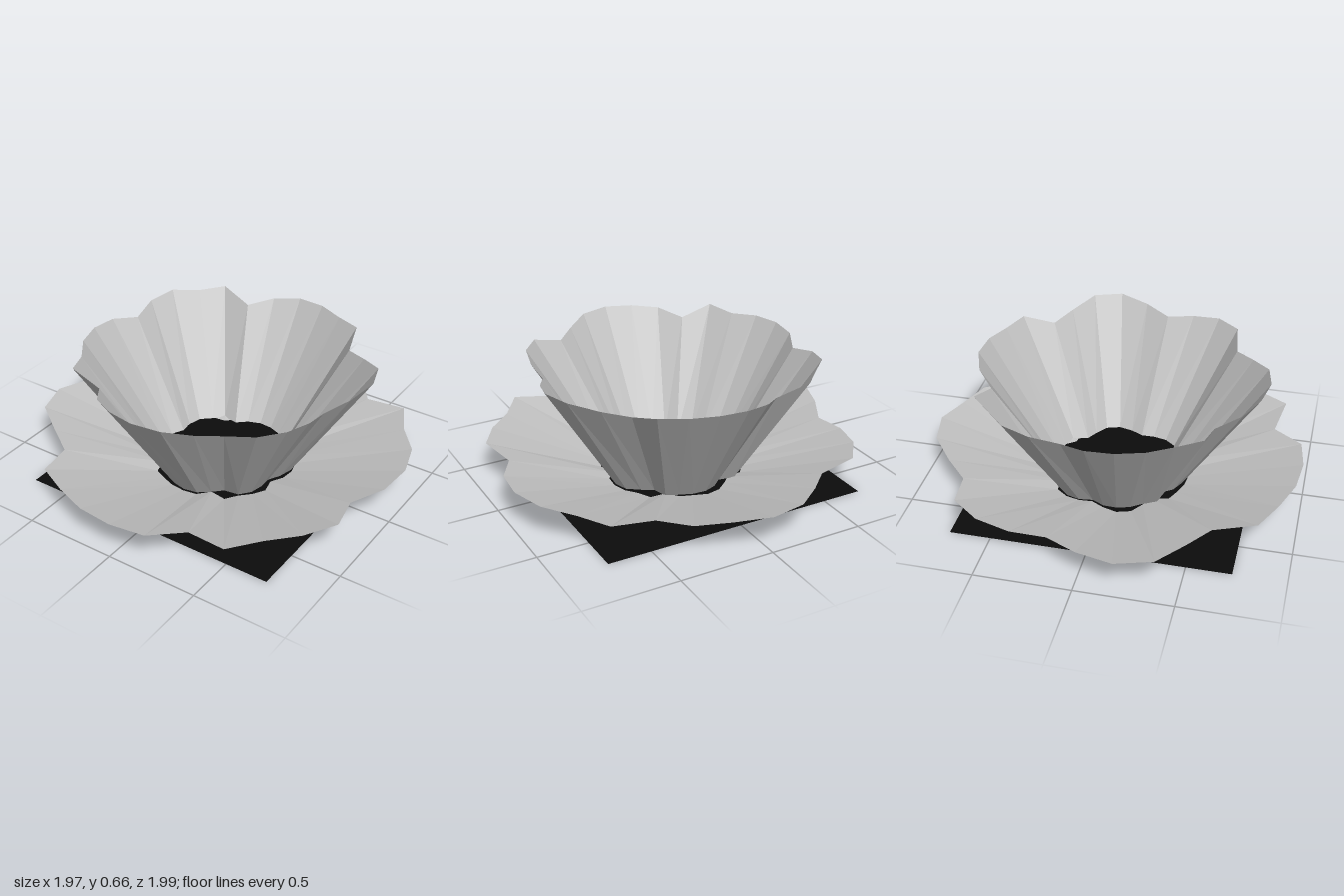
import * as THREE from 'three';

// Radii of the ruffled rims, every 11.25 degrees from +x towards +z
const SAUCER_RIM = [
  0.96, 0.88, 0.985, 0.975, 0.955, 1.01, 0.87, 0.98, 0.99, 0.99, 0.98, 0.99, 0.856, 0.91, 1.008, 1.01,
  0.93, 0.855, 0.92, 0.965, 0.97, 0.857, 0.906, 0.98, 1.0, 0.955, 0.947, 0.867, 1.004, 0.962, 0.998, 0.997,
];
const CUP_RIM = [
  0.74, 0.683, 0.726, 0.767, 0.767, 0.681, 0.72, 0.776, 0.79, 0.773, 0.745, 0.675, 0.78, 0.738, 0.758, 0.757,
  0.735, 0.68, 0.743, 0.775, 0.75, 0.768, 0.658, 0.72, 0.757, 0.761, 0.75, 0.764, 0.668, 0.719, 0.79, 0.794,
];

// Open ruffled cone: the foot is a scaled copy of the rim
function ruffledCone(rim, footScale, footY, rimY) {
  const n = rim.length;
  const positions = [];
  const indices = [];
  rim.forEach((r, i) => {
    const a = (i / n) * Math.PI * 2;
    const c = Math.cos(a), s = Math.sin(a);
    positions.push(c * r * footScale, footY, s * r * footScale);
    positions.push(c * r, rimY(r), s * r);
    const b = i * 2, d = ((i + 1) % n) * 2;
    indices.push(b, b + 1, d + 1, b, d + 1, d);
  });
  const geometry = new THREE.BufferGeometry();
  geometry.setAttribute('position', new THREE.Float32BufferAttribute(positions, 3));
  geometry.setIndex(indices);
  const flat = geometry.toNonIndexed();
  flat.computeVertexNormals();
  return flat;
}

export function createModel() {
  const group = new THREE.Group();
  const grey = new THREE.MeshStandardMaterial({ color: 0xc0c0c0, side: THREE.DoubleSide, flatShading: true });
  grey.name = 'petal grey';
  const black = new THREE.MeshStandardMaterial({ color: 0x0c0c0c, side: THREE.DoubleSide });
  black.name = 'base black';

  const add = (name, geometry, material) => {
    const mesh = new THREE.Mesh(geometry, material);
    mesh.name = name;
    group.add(mesh);
    return mesh;
  };

  // Square sheet underneath
  const base = add('baseSheet', new THREE.PlaneGeometry(1.444, 1.444).rotateX(-Math.PI / 2), black);
  base.position.set(0.008, 0, 0.008);

  // Shallow outer ring of petals and the tall inner cup
  add('outerPetals', ruffledCone(SAUCER_RIM, 0.39, 0.018, (r) => 0.194 * r), grey);
  add('innerCup', ruffledCone(CUP_RIM, 0.48, 0.022, (r) => 0.605 + 0.5 * (r - 0.68)), grey);

  return group;
}
